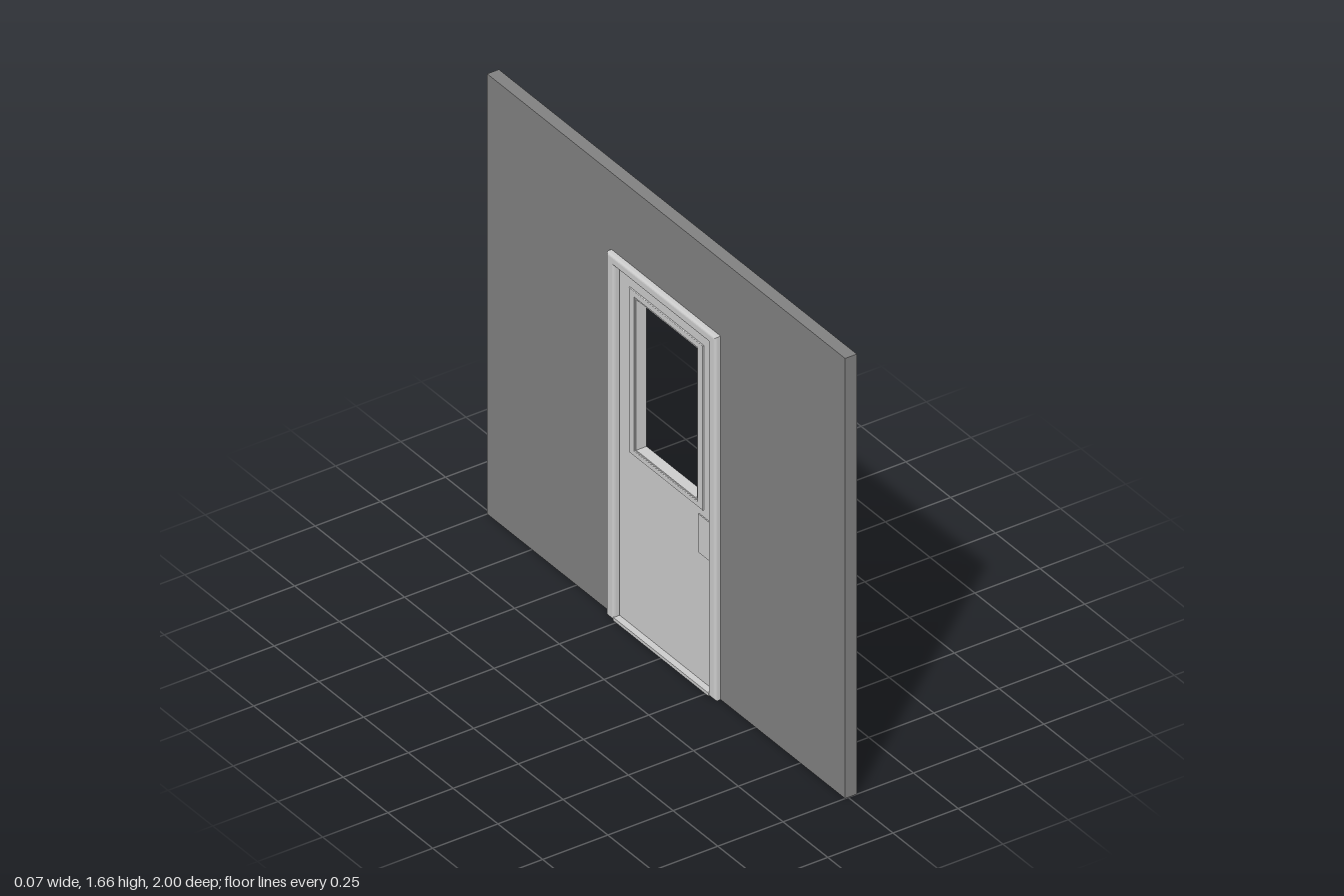
import * as THREE from 'three';

const wallMat = new THREE.MeshStandardMaterial({ color: 0x808080 });
const lightMat = new THREE.MeshStandardMaterial({ color: 0xcccccc });

// closed outline from [z, y] points
const outline = (pts, Type = THREE.Shape) => new Type(pts.map(([z, y]) => new THREE.Vector2(z, y)));
const rect = (w, y0, y1, Type) => outline([[-w, y0], [w, y0], [w, y1], [-w, y1]], Type);
// upside-down U, open at the floor
const arch = (wOut, wIn, y0, yOut, yIn) => outline([
  [-wOut, y0], [-wIn, y0], [-wIn, yIn], [wIn, yIn], [wIn, y0], [wOut, y0], [wOut, yOut], [-wOut, yOut]]);

// plate in the z-y plane, reaching from xFront (+x) to xBack (-x)
function plate(name, shape, xFront, xBack, material, bevel = 0) {
  const geo = new THREE.ExtrudeGeometry(shape, {
    depth: xFront - xBack - 2 * bevel, bevelEnabled: bevel > 0,
    bevelSize: bevel, bevelThickness: bevel, bevelSegments: 4,
  });
  geo.translate(0, 0, bevel - xFront).rotateY(-Math.PI / 2);
  const mesh = new THREE.Mesh(geo, material);
  mesh.name = name;
  return mesh;
}

function ring(w, y0, y1, wIn, yIn0, yIn1) {
  const s = rect(w, y0, y1);
  s.holes.push(rect(wIn, yIn0, yIn1, THREE.Path));
  return s;
}

export function createModel() {
  const model = new THREE.Group();
  model.name = 'wallWithDoor';

  // wall panel with the doorway cut out
  model.add(plate('wall', arch(1, 0.264, 0, 1.66, 1.336), 0.033, -0.012, wallMat));

  // door leaf, nearly flush with the wall, with its window opening
  model.add(plate('doorLeaf', ring(0.264, 0.012, 1.336, 0.19, 0.675, 1.265), 0.031, -0.009, lightMat));

  // window surround: thin proud border on both faces and a stepped inner lining
  model.add(plate('windowBorderOuter', ring(0.205, 0.663, 1.28, 0.18, 0.678, 1.262), 0.033, 0.025, lightMat, 0.002));
  model.add(plate('windowBorderInner', ring(0.205, 0.663, 1.28, 0.18, 0.678, 1.262), 0, -0.014, lightMat, 0.002));
  model.add(plate('windowLining', ring(0.192, 0.672, 1.268, 0.17, 0.685, 1.253), 0.03, -0.01, lightMat));

  // rounded casing around the doorway
  const b = 0.009;
  model.add(plate('doorCasing', arch(0.305 - b, 0.264 + b, b, 1.371 - b, 1.336 + b), 0, -0.033, lightMat, b));

  // threshold under the door
  model.add(plate('threshold', rect(0.266, 0, 0.012), 0.03, -0.033, lightMat));

  // latch plate
  const latch = plate('latchPlate', rect(0.03, 0.49, 0.635), 0, -0.013, lightMat);
  latch.position.z = 0.21;
  model.add(latch);

  return model;
}
